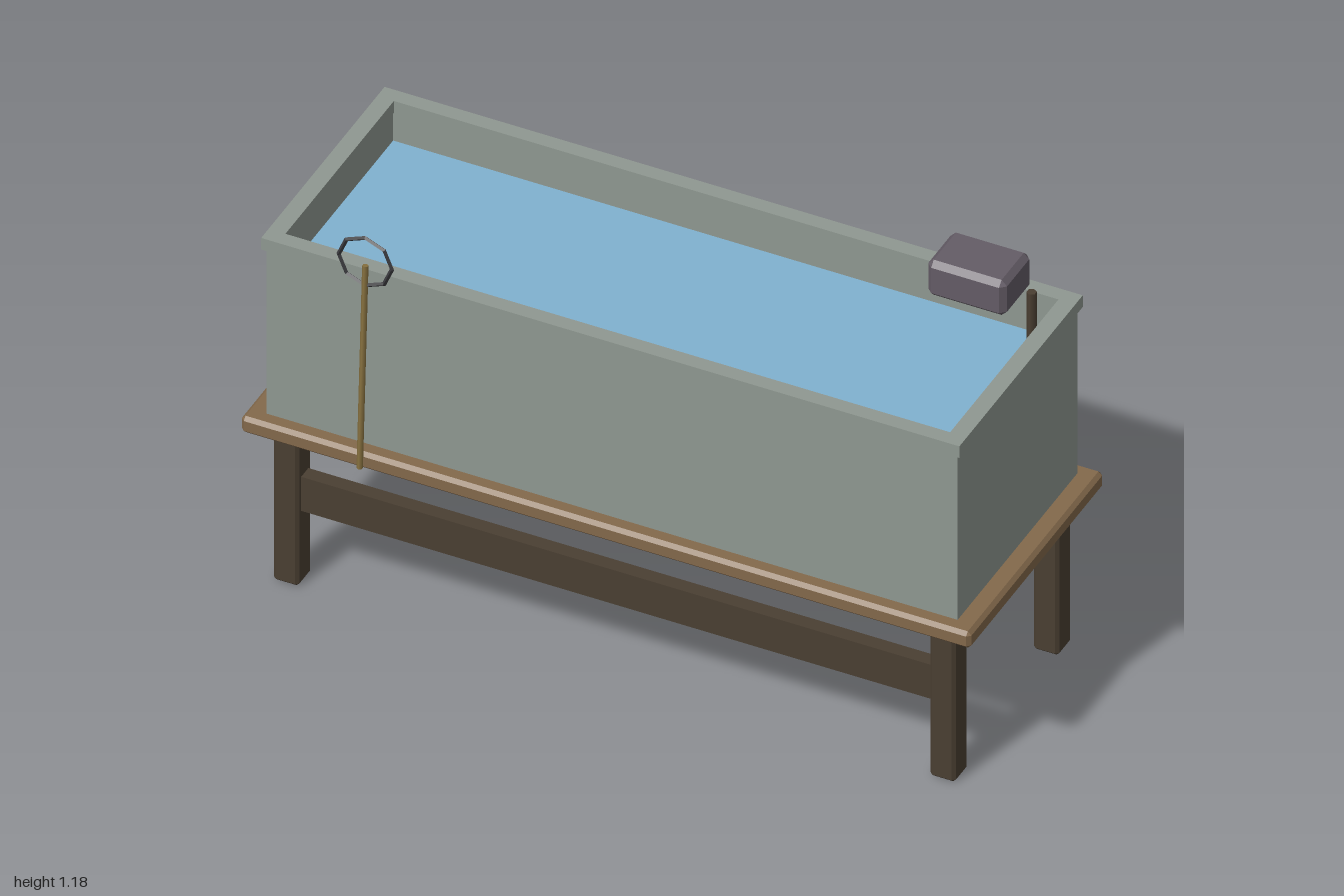
import * as THREE from 'three';
import { ConvexGeometry } from 'three/addons/geometries/ConvexGeometry.js';

const mat = (name, color) => {
  const m = new THREE.MeshStandardMaterial({ color });
  m.name = name;
  return m;
};

// Box with chamfered edges, c is the chamfer size
function chamferBox(w, h, d, c) {
  const pts = [];
  for (const sx of [-1, 1]) for (const sy of [-1, 1]) for (const sz of [-1, 1]) {
    const x = w / 2, y = h / 2, z = d / 2;
    pts.push(
      new THREE.Vector3(sx * x, sy * (y - c), sz * (z - c)),
      new THREE.Vector3(sx * (x - c), sy * y, sz * (z - c)),
      new THREE.Vector3(sx * (x - c), sy * (y - c), sz * z));
  }
  return new ConvexGeometry(pts);
}

// Rectangular frame standing upright from y = 0 to y = h
function frame(w, d, innerW, innerD, h) {
  const rect = (P, a, b) => {
    const p = new P();
    p.moveTo(-a / 2, -b / 2);
    p.lineTo(a / 2, -b / 2);
    p.lineTo(a / 2, b / 2);
    p.lineTo(-a / 2, b / 2);
    p.closePath();
    return p;
  };
  const shape = rect(THREE.Shape, w, d);
  shape.holes.push(rect(THREE.Path, innerW, innerD));
  return new THREE.ExtrudeGeometry(shape, { depth: h, bevelEnabled: false }).rotateX(-Math.PI / 2);
}

export function createModel() {
  const model = new THREE.Group();
  model.name = 'waterTroughOnTable';
  const stone = mat('greyTank', 0x8f9891);
  const topWood = mat('tableWood', 0x83694b);
  const darkWood = mat('darkWood', 0x4a3f32);
  const water = mat('waterBlue', 0x80b1d0);
  const casing = mat('purpleGrey', 0x645c66);
  const metal = mat('darkMetal', 0x3a3a3e);
  const cane = mat('poleWood', 0x86703f);

  const add = (name, geo, material, x, y, z) => {
    const m = new THREE.Mesh(geo, material);
    m.name = name;
    m.position.set(x, y, z);
    model.add(m);
    return m;
  };
  const cz = -0.015;

  // Table
  add('tableTop', chamferBox(2, 0.05, 0.745, 0.01), topWood, 0, 0.49, cz);
  for (const sx of [-1, 1]) for (const sz of [-1, 1]) {
    add('leg', chamferBox(0.07, 0.467, 0.075, 0.008), darkWood, sx * 0.9, 0.2335, cz + sz * 0.287);
  }
  add('frontStretcher', new THREE.BoxGeometry(1.75, 0.105, 0.04), darkWood, 0, 0.278, cz + 0.287);

  // Tank
  add('tankWalls', frame(1.894, 0.664, 1.83, 0.61, 0.511), stone, 0, 0.514, cz);
  add('tankRim', frame(1.914, 0.685, 1.822, 0.602, 0.036), stone, 0, 1.025, cz);
  add('water', new THREE.BoxGeometry(1.83, 0.42, 0.61), water, 0, 0.725, cz);

  // Filter box and its intake pipe
  add('filterBox', chamferBox(0.216, 0.108, 0.153, 0.015), casing, 0.721, 1.116, -0.258);
  add('intakePipe', new THREE.CylinderGeometry(0.013, 0.013, 0.34, 6), darkWood, 0.855, 0.92, -0.28);

  // Leaning net with an octagonal hoop
  const a = new THREE.Vector3(-0.661, 0.487, 0.38);
  const b = new THREE.Vector3(-0.661, 1.09, 0.349);
  const dir = b.clone().sub(a);
  const mid = a.clone().add(b).multiplyScalar(0.5);
  const pole = add('netPole', new THREE.CylinderGeometry(0.008, 0.008, dir.length(), 6), cane, mid.x, mid.y, mid.z);
  pole.quaternion.setFromUnitVectors(new THREE.Vector3(0, 1, 0), dir.normalize());
  const hoop = new THREE.TorusGeometry(0.073, 0.006, 4, 8).toNonIndexed();
  hoop.computeVertexNormals();
  add('netHoop', hoop, metal, -0.661, 1.102, 0.349);

  return model;
}
